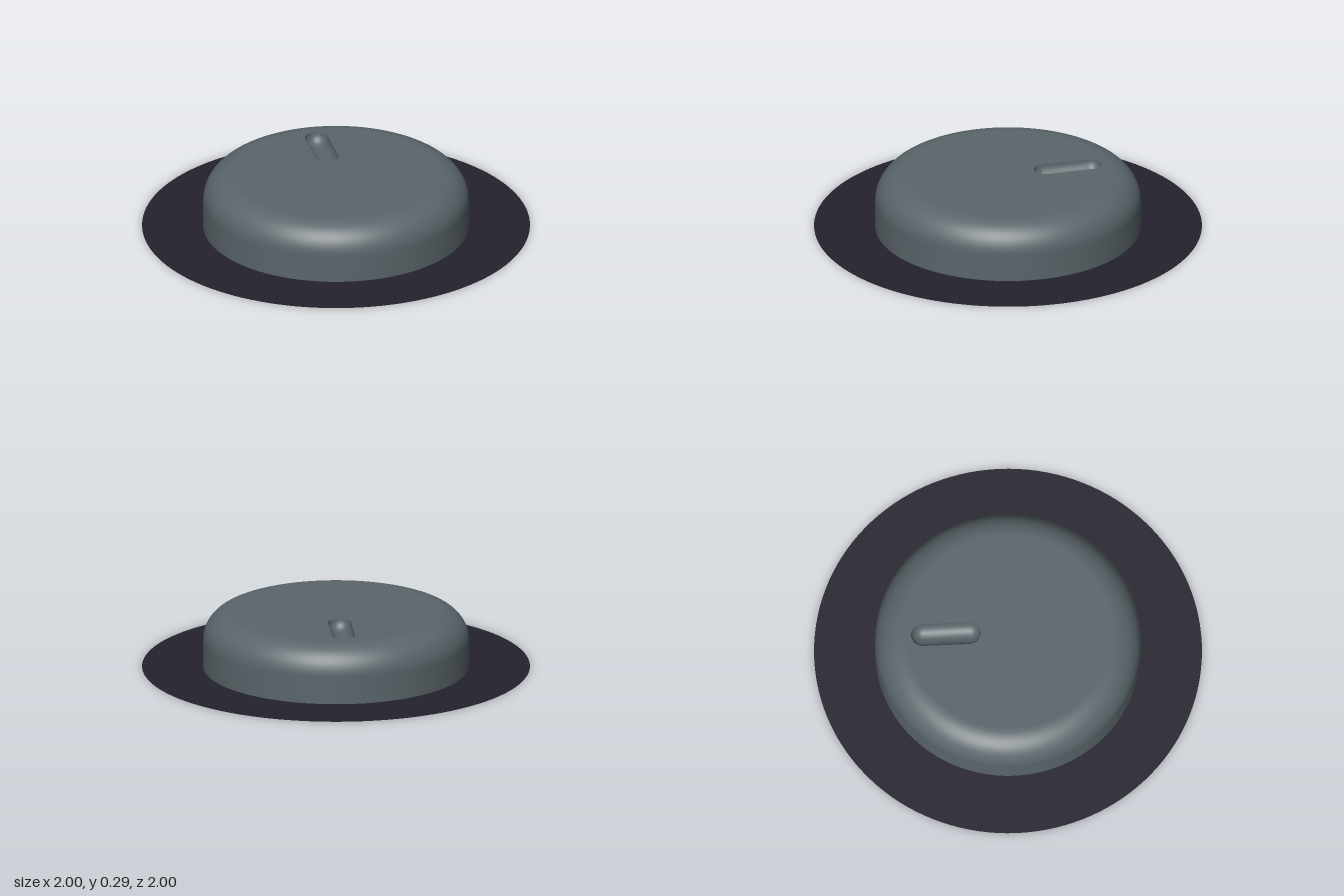
import * as THREE from 'three';

const knobMaterial = new THREE.MeshStandardMaterial({ color: 0x5a656a });
knobMaterial.name = 'slateGrey';
const baseMaterial = new THREE.MeshStandardMaterial({ color: 0x24222d, side: THREE.DoubleSide });
baseMaterial.name = 'darkPlum';

const R = 0.685, H = 0.295, FILLET = 0.15;
const SLOT_R = 0.06, SLOT_NEAR = 0.2, SLOT_FAR = 0.44;

// Stadium outline of the slot, counter-clockwise, y pointing to the back
function slotOutline(r, steps = 16) {
  const points = [];
  for (const [centre, start] of [[SLOT_FAR, 0], [SLOT_NEAR, Math.PI]]) {
    for (let i = 0; i <= steps; i++) {
      const a = start + (i / steps) * Math.PI;
      points.push(new THREE.Vector2(r * Math.cos(a), centre + r * Math.sin(a)));
    }
  }
  return points;
}

// Round-bottomed groove made of shrinking outlines
function grooveGeometry(rows = 12) {
  const positions = [], index = [];
  let n = 0;
  for (let j = 0; j <= rows; j++) {
    const t = (j / rows) * Math.PI / 2;
    const ring = slotOutline(SLOT_R * Math.cos(t));
    n = ring.length;
    for (const p of ring) positions.push(p.x, H - SLOT_R * Math.sin(t), -p.y);
  }
  for (let j = 0; j < rows; j++) {
    for (let i = 0; i < n; i++) {
      const a = j * n + i, b = j * n + (i + 1) % n;
      index.push(a, b, b + n, a, b + n, a + n);
    }
  }
  const g = new THREE.BufferGeometry();
  g.setAttribute('position', new THREE.Float32BufferAttribute(positions, 3));
  g.setIndex(index);
  g.computeVertexNormals();
  return g;
}

export function createModel() {
  const model = new THREE.Group();
  const add = (name, geometry, material) => {
    const mesh = new THREE.Mesh(geometry, material);
    mesh.name = name;
    model.add(mesh);
  };

  // Flat base disc
  add('baseDisc', new THREE.CircleGeometry(1, 128).rotateX(-Math.PI / 2), baseMaterial);

  // Knob wall with rounded upper edge
  const profile = [new THREE.Vector2(R, 0)];
  for (let i = 0; i <= 16; i++) {
    const a = (i / 16) * Math.PI / 2;
    profile.push(new THREE.Vector2(
      R - FILLET + FILLET * Math.cos(a), H - FILLET + FILLET * Math.sin(a)));
  }
  add('knobWall', new THREE.LatheGeometry(profile, 96), knobMaterial);

  // Flat knob top with the slot cut out
  const top = new THREE.Shape().absarc(0, 0, R - FILLET, 0, Math.PI * 2);
  top.holes.push(new THREE.Path(slotOutline(SLOT_R).reverse()));
  add('knobTop', new THREE.ShapeGeometry(top, 48).rotateX(-Math.PI / 2).translate(0, H, 0), knobMaterial);

  // Sunken pointer mark
  add('pointerGroove', grooveGeometry(), knobMaterial);

  return model;
}
